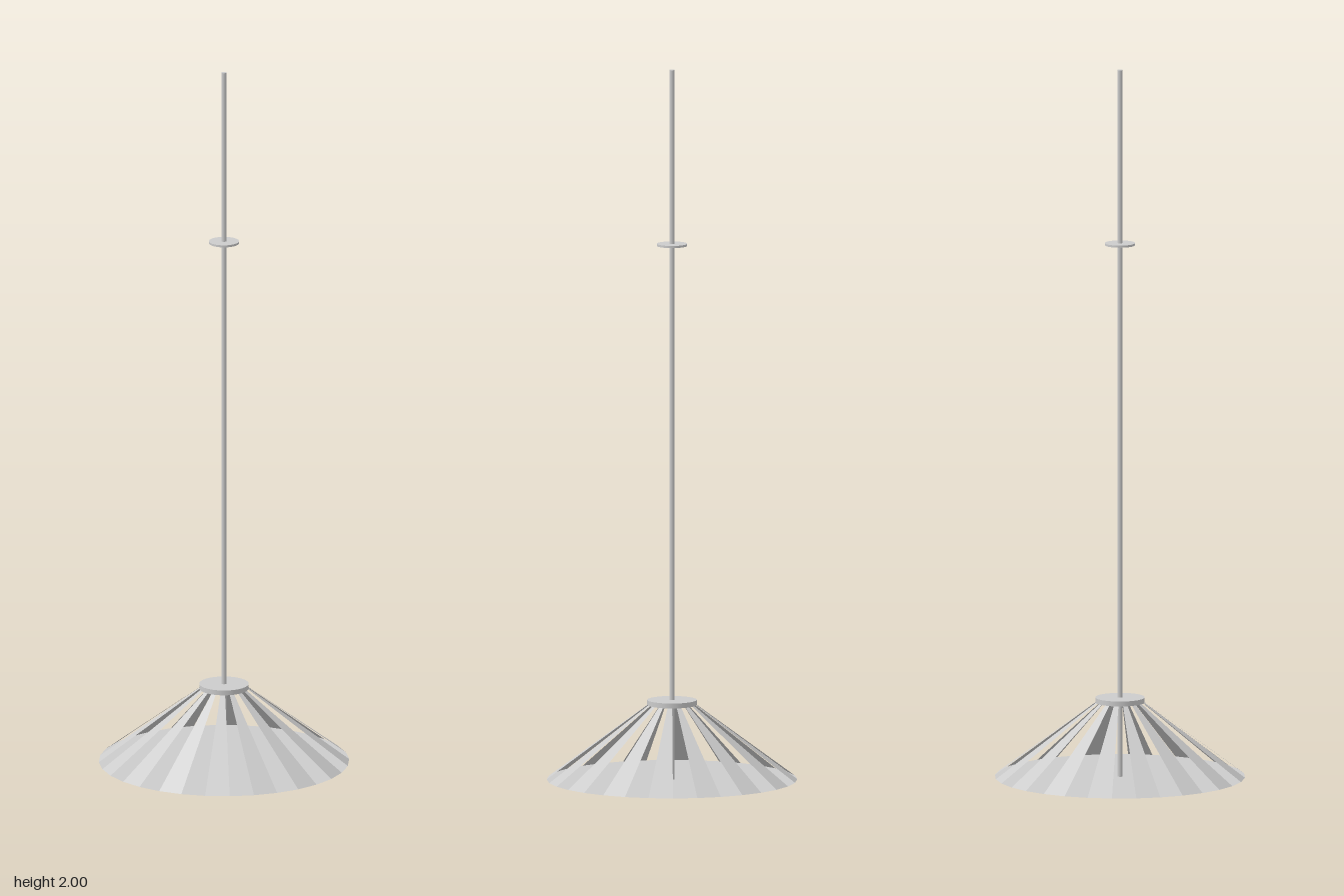
import * as THREE from 'three';

export function createModel() {
  const model = new THREE.Group();
  const smooth = new THREE.MeshStandardMaterial({ color: 0xcccccc });
  const flat = new THREE.MeshStandardMaterial({ color: 0xcccccc, flatShading: true, side: THREE.DoubleSide });

  const add = (name, geometry, material, y, parent = model) => {
    const mesh = new THREE.Mesh(geometry, material);
    mesh.name = name;
    mesh.position.y = y;
    parent.add(mesh);
    return mesh;
  };
  const disc = (radius, height, sides = 32) => new THREE.CylinderGeometry(radius, radius, height, sides);

  // Slender pole running the full height
  add('pole', disc(0.0075, 2, 16), smooth, 1);

  // Small collar high on the pole
  add('collar', disc(0.042, 0.006), smooth, 1.507);

  // Cap closing the top of the shade
  add('shadeCap', disc(0.069, 0.014), smooth, 0.217);

  // Thin plate closing the bottom of the shade
  const base = add('basePlate', new THREE.CircleGeometry(0.349, 32), flat, 0);
  base.rotation.x = -Math.PI / 2;

  // Sixteen sloping slats, separated by gaps of equal width
  const shade = new THREE.Group();
  shade.name = 'shade';
  model.add(shade);
  const count = 16, step = (Math.PI * 2) / count, height = 0.212;
  for (let i = 0; i < count; i++) {
    const slat = new THREE.CylinderGeometry(0.065, 0.349, height, 1, 1, true, i * step, step / 2);
    add('slat', slat, flat, height / 2, shade);
  }

  return model;
}
